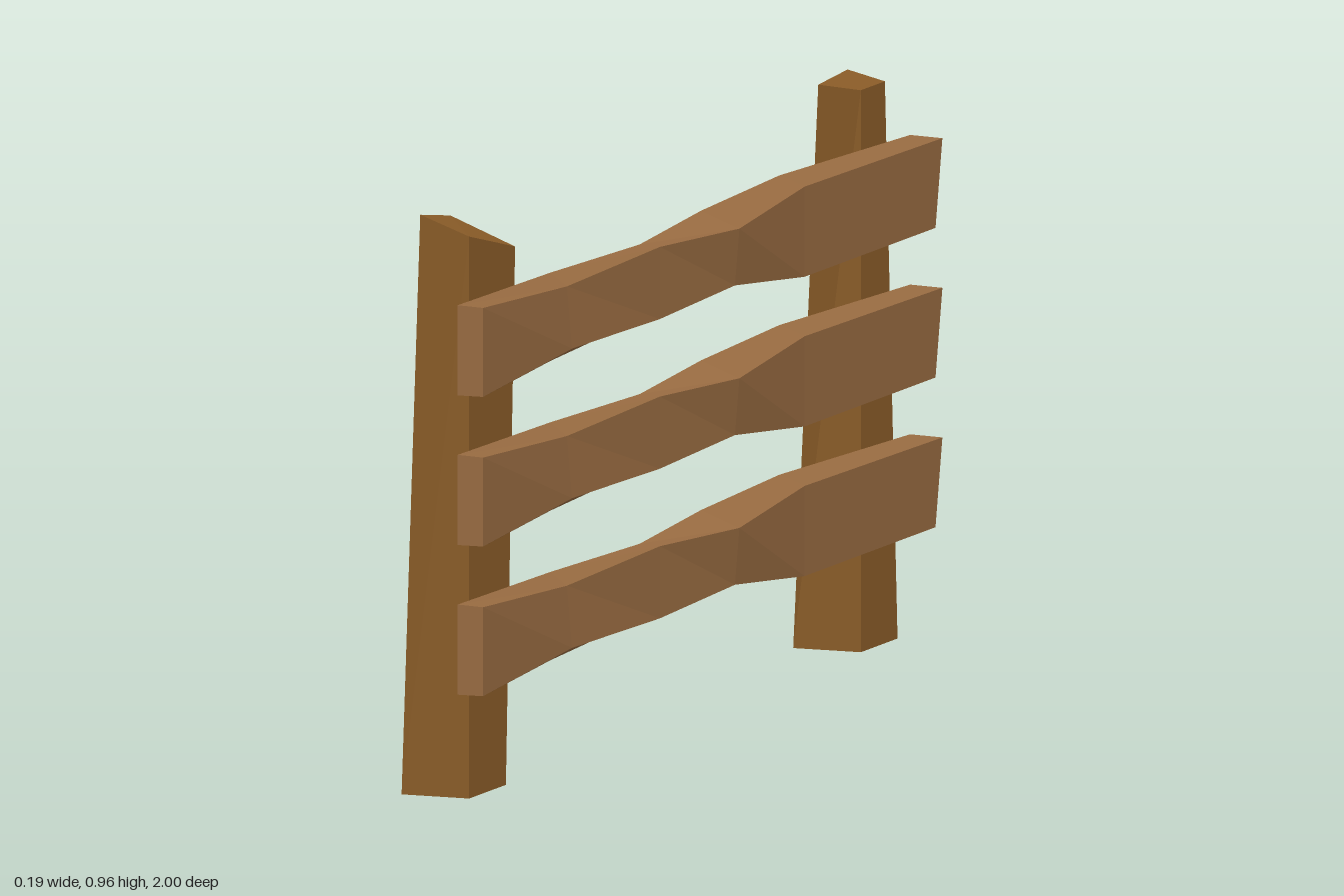
import * as THREE from 'three';

// Skin a list of four-cornered sections (counter-clockwise seen from the end) and cap both ends
function loft(sections) {
  const pos = [];
  const quad = (a, b, c, d) => pos.push(...a, ...b, ...c, ...a, ...c, ...d);
  for (let i = 0; i < sections.length - 1; i++) {
    const s = sections[i], t = sections[i + 1];
    for (let j = 0; j < 4; j++) {
      const k = (j + 1) % 4;
      quad(s[j], s[k], t[k], t[j]);
    }
  }
  const first = sections[0], last = sections[sections.length - 1];
  quad(first[3], first[2], first[1], first[0]);
  quad(...last);
  const geo = new THREE.BufferGeometry();
  geo.setAttribute('position', new THREE.Float32BufferAttribute(pos, 3));
  geo.computeVertexNormals();
  return geo;
}

export function createModel() {
  const group = new THREE.Group();
  const postMat = new THREE.MeshStandardMaterial({ color: 0x8a5c28, flatShading: true });
  const railMat = new THREE.MeshStandardMaterial({ color: 0x986b41, flatShading: true });
  const add = (name, geo, mat, y = 0) => {
    const mesh = new THREE.Mesh(geo, mat);
    mesh.name = name;
    mesh.position.y = y;
    group.add(mesh);
  };

  // Rough-hewn posts: bottom and top corners
  add('frontPost', loft([
    [[0.025, 0, 0.95], [0.025, 0, 0.79], [-0.095, 0, 0.75], [-0.095, 0, 0.95]],
    [[0.025, 0.935, 0.95], [0.025, 0.89, 0.75], [-0.09, 0.935, 0.75], [-0.07, 0.963, 0.93]],
  ]), postMat);
  add('backPost', loft([
    [[0.025, 0, -0.755], [0.025, 0, -0.915], [-0.095, 0, -0.955], [-0.095, 0, -0.755]],
    [[0.025, 0.935, -0.755], [0.025, 0.935, -0.86], [-0.08, 0.935, -0.955], [-0.075, 0.93, -0.815]],
  ]), postMat);

  // Warped rail: z, outer bottom x/y, outer top x/y, inner x, inner top y, inner bottom y
  const stations = [
    [-0.4, 0.07, 0.18, 0.07, 0.33, 0.025, 0.346, 0.18],
    [-0.06, 0.085, 0.215, 0.093, 0.31, 0.025, 0.336, 0.215],
    [0.22, 0.066, 0.198, 0.066, 0.318, 0.03, 0.32, 0.195],
    [0.6, 0.065, 0.203, 0.056, 0.306, 0.026, 0.327, 0.18],
    [1, 0.07, 0.18, 0.07, 0.328, 0.025, 0.33, 0.18],
  ].map(([z, bx, by, tx, ty, ix, it, ib]) => [[bx, by, z], [tx, ty, z], [ix, it, z], [ix, ib, z]]);
  // Skewed saw cut at the back end
  const cut = [[0.07, 0.18, -0.97], [0.07, 0.325, -1], [0.025, 0.332, -0.97], [0.025, 0.18, -0.995]];
  const railGeo = loft([cut, ...stations]);
  ['lowerRail', 'middleRail', 'upperRail'].forEach((name, i) => add(name, railGeo, railMat, i * 0.249));

  return group;
}
